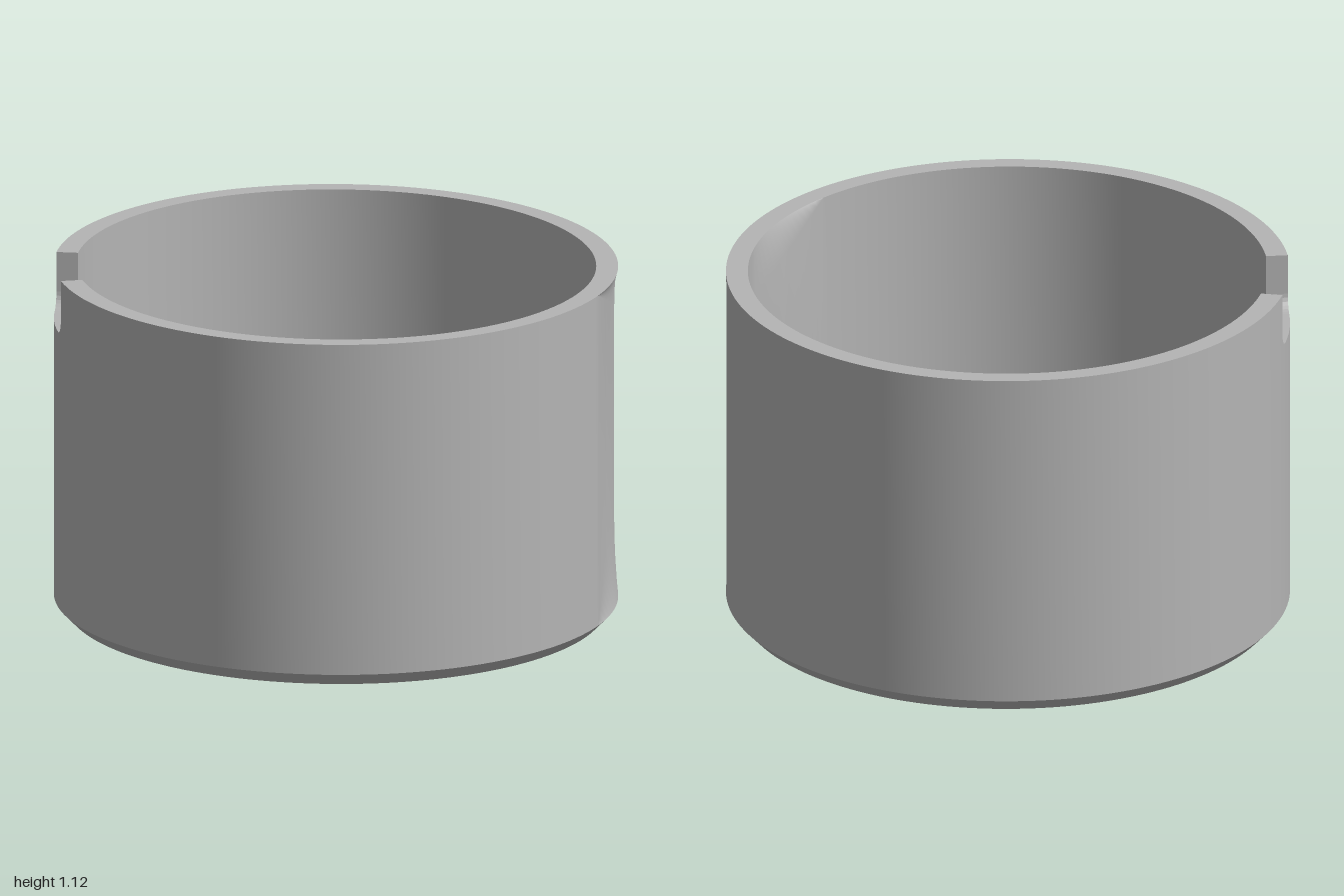
import * as THREE from 'three';

const TOP = 1.125, CHAMFER = 0.04, FLOOR = 0.08, WALL = 0.07;
const MAJOR = 1.04, MINOR = 0.899, AX = 0.545, AZ = -0.838; // tilted ellipse

// Point on the ellipse, shrunk by inset, at parameter t
function ring(t, inset, y) {
  const u = (MAJOR - inset) * Math.cos(t), v = (MINOR - inset) * Math.sin(t);
  return new THREE.Vector3(AX * u - AZ * v, y, AZ * u + AX * v);
}

// Ellipse parameter of a plan position
function paramAt(x, z, inset = 0) {
  return Math.atan2((-AZ * x + AX * z) / (MINOR - inset), (AX * x + AZ * z) / (MAJOR - inset));
}

// Closed band of quads through rows of points
function band(rows, smooth) {
  const n = rows[0].length, index = [];
  for (let r = 0; r < rows.length - 1; r++) {
    for (let i = 0; i < n; i++) {
      const j = (i + 1) % n, a = r * n + i, b = a + n, c = (r + 1) * n + j, d = r * n + j;
      index.push(a, b, c, a, c, d);
    }
  }
  let g = new THREE.BufferGeometry().setFromPoints(rows.flat());
  g.setIndex(index);
  if (!smooth) g = g.toNonIndexed();
  g.computeVertexNormals();
  return g;
}

// Flattened facet of a wall between two parameters
function makeDent(start, end, inset) {
  return { inset, t0: paramAt(...start, inset), t1: paramAt(...end, inset) };
}

// Wall rows: foot, lower crease, upper crease, top
function wallRows(columns, dent, foot) {
  const rows = [[], [], [], []];
  const p0 = ring(dent.t0, dent.inset, 0), p1 = ring(dent.t1, dent.inset, 0);
  for (const { t, top } of columns) {
    const f = (t - dent.t0) / (dent.t1 - dent.t0);
    const inside = f >= 0 && f <= 1;
    const k = inside ? f : 0;
    const low = THREE.MathUtils.lerp(0.4, foot, k);
    const high = Math.min(THREE.MathUtils.lerp(0.95, TOP, k), top);
    const flat = inside ? p0.clone().lerp(p1, f) : ring(t, dent.inset, 0);
    rows[0].push(ring(t, dent.inset, foot));
    rows[1].push(flat.clone().setY(low));
    rows[2].push(flat.clone().setY(high));
    rows[3].push(ring(t, dent.inset, top));
  }
  return rows;
}

export function createModel() {
  const group = new THREE.Group();
  group.name = 'notchedCup';
  const grey = new THREE.MeshStandardMaterial({ color: 0xb4b4b4 });
  grey.name = 'grey';

  const outerDent = makeDent([0.8, 0.4], [0.43, 0.82], 0);
  const innerDent = makeDent([0.59, 0.59], [0.14, 0.88], WALL);

  // Columns around the cup, with extra ones at the creases
  const n0 = paramAt(-0.62, -0.66), n1 = paramAt(-0.83, -0.35);
  const notchStart = Math.min(n0, n1), notchEnd = Math.max(n0, n1);
  const params = [outerDent.t0, outerDent.t1, innerDent.t0, innerDent.t1];
  for (let i = 0; i < 160; i++) params.push(-Math.PI + (i / 160) * Math.PI * 2);
  const columns = params
    .filter((t) => t < notchStart || t > notchEnd)
    .map((t) => ({ t, top: TOP }));

  // Rim notch with rounded bottom corners
  const depth = 0.18, radius = 0.05;
  const notch = [{ t: notchStart, top: TOP }];
  const corner = [];
  for (let i = 0; i <= 6; i++) {
    const a = (i / 6) * Math.PI / 2;
    corner.push([radius * (1 - Math.cos(a)), TOP - depth + radius * (1 - Math.sin(a))]);
  }
  for (const [d, top] of corner) notch.push({ t: notchStart + d, top });
  for (let i = 1; i < 6; i++) {
    const t = THREE.MathUtils.lerp(notchStart + radius, notchEnd - radius, i / 6);
    notch.push({ t, top: TOP - depth });
  }
  for (const [d, top] of corner.reverse()) notch.push({ t: notchEnd - d, top });
  notch.push({ t: notchEnd, top: TOP });
  columns.push(...notch);
  columns.sort((a, b) => a.t - b.t); // stable, keeps the notch sides in order

  const outer = wallRows(columns, outerDent, CHAMFER);
  const inner = wallRows(columns, innerDent, FLOOR);
  const base = columns.map(({ t }) => ring(t, CHAMFER, 0));
  const centre = (y) => columns.map(() => new THREE.Vector3(0, y, 0));

  const add = (name, rows, smooth) => {
    const mesh = new THREE.Mesh(band(rows, smooth), grey);
    mesh.name = name;
    group.add(mesh);
  };
  add('outerWall', outer, true);
  add('innerWall', inner.slice().reverse(), true);
  add('rim', [outer[3], inner[3]], false);
  add('bottomChamfer', [base, outer[0]], true);
  add('underside', [centre(0), base], false);
  add('floor', [inner[0], centre(FLOOR)], false);
  return group;
}
